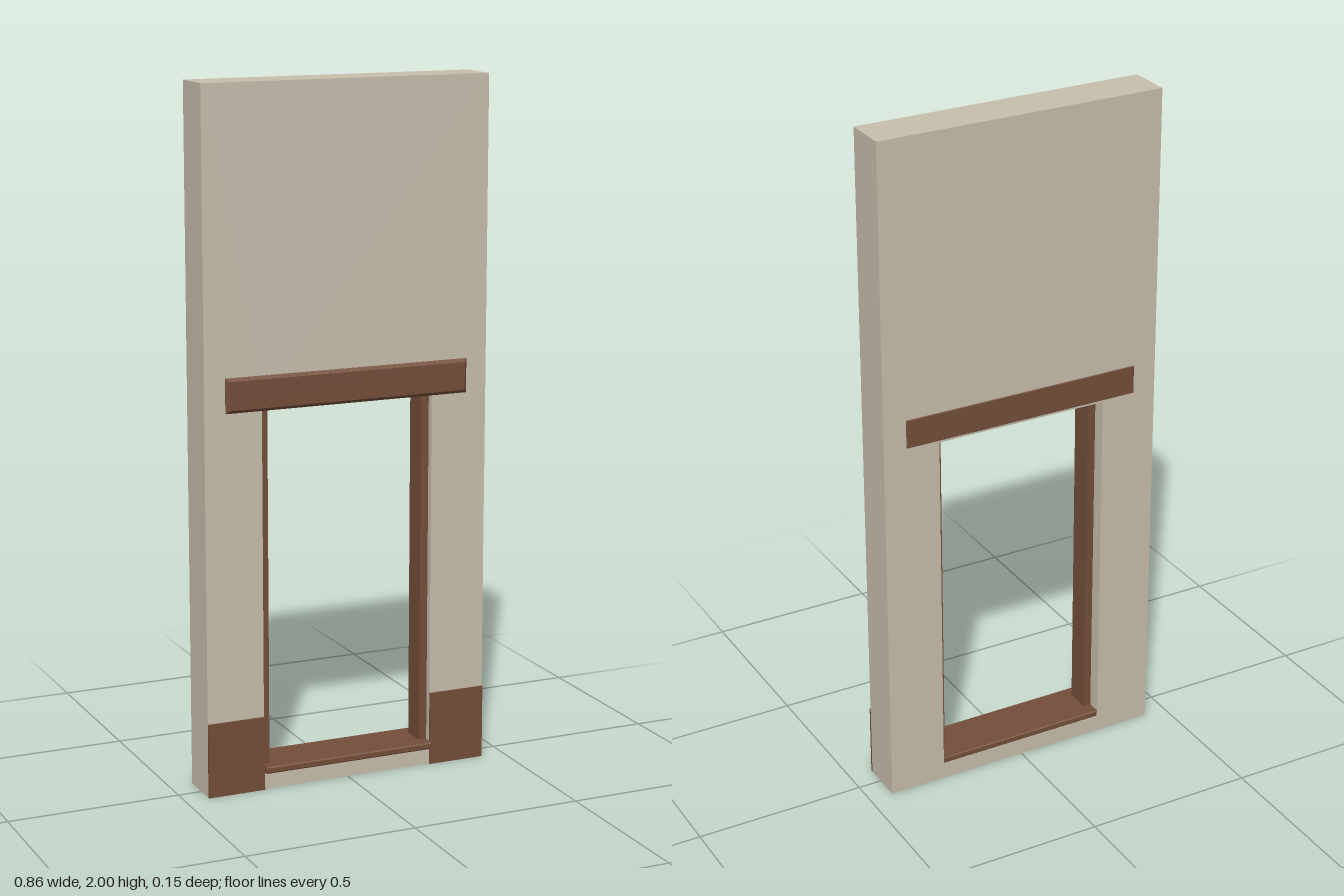
import * as THREE from 'three';

const plaster = new THREE.MeshStandardMaterial({ name: 'plaster', color: 0xc8bfad });
const wood = new THREE.MeshStandardMaterial({ name: 'brown wood', color: 0x744e3a });

function rectangle(Type, x0, x1, y0, y1) {
  const r = new Type();
  r.moveTo(x0, y0);
  r.lineTo(x1, y0);
  r.lineTo(x1, y1);
  r.lineTo(x0, y1);
  r.closePath();
  return r;
}

function box(name, material, x0, x1, y0, y1, z0, z1) {
  const mesh = new THREE.Mesh(new THREE.BoxGeometry(x1 - x0, y1 - y0, z1 - z0), material);
  mesh.position.set((x0 + x1) / 2, (y0 + y1) / 2, (z0 + z1) / 2);
  mesh.name = name;
  return mesh;
}

// Bar with chamfered edges on its front and back faces
function chamferedBar(name, x0, x1, y0, y1, z0, z1, bevel) {
  const geometry = new THREE.ExtrudeGeometry(
    rectangle(THREE.Shape, x0 + bevel, x1 - bevel, y0 + bevel, y1 - bevel),
    { depth: z1 - z0 - 2 * bevel, bevelEnabled: true, bevelThickness: bevel, bevelSize: bevel, bevelSegments: 1 }
  );
  geometry.translate(0, 0, z0 + bevel);
  const mesh = new THREE.Mesh(geometry, wood);
  mesh.name = name;
  return mesh;
}

export function createModel() {
  const model = new THREE.Group();
  model.name = 'wallWithOpening';

  // Wall panel with a tall opening
  const outline = rectangle(THREE.Shape, -0.43, 0.43, 0, 2);
  outline.holes.push(rectangle(THREE.Path, -0.26, 0.26, 0.05, 1.1));
  const wallGeometry = new THREE.ExtrudeGeometry(outline, { depth: 0.13, bevelEnabled: false });
  wallGeometry.translate(0, 0, -0.075);
  const wall = new THREE.Mesh(wallGeometry, plaster);
  wall.name = 'wall';
  model.add(wall);

  // Lintel and sill run through the wall
  model.add(chamferedBar('lintel', -0.368, 0.368, 1.099, 1.198, -0.077, 0.065, 0.009));
  model.add(chamferedBar('sill', -0.2595, 0.2595, 0.0505, 0.07, -0.077, 0.074, 0.003));

  // Jambs and skirting boards on both sides
  for (const [side, s] of [['left', 1], ['right', -1]]) {
    const span = (a, b) => (s > 0 ? [a, b] : [-b, -a]);
    model.add(box(side + 'Jamb', wood, ...span(0.236, 0.26), 0.068, 1.1, -0.035, 0.036));
    model.add(box(side + 'Skirting', wood, ...span(0.26, 0.43), 0, 0.216, 0.054, 0.061));
  }
  return model;
}
